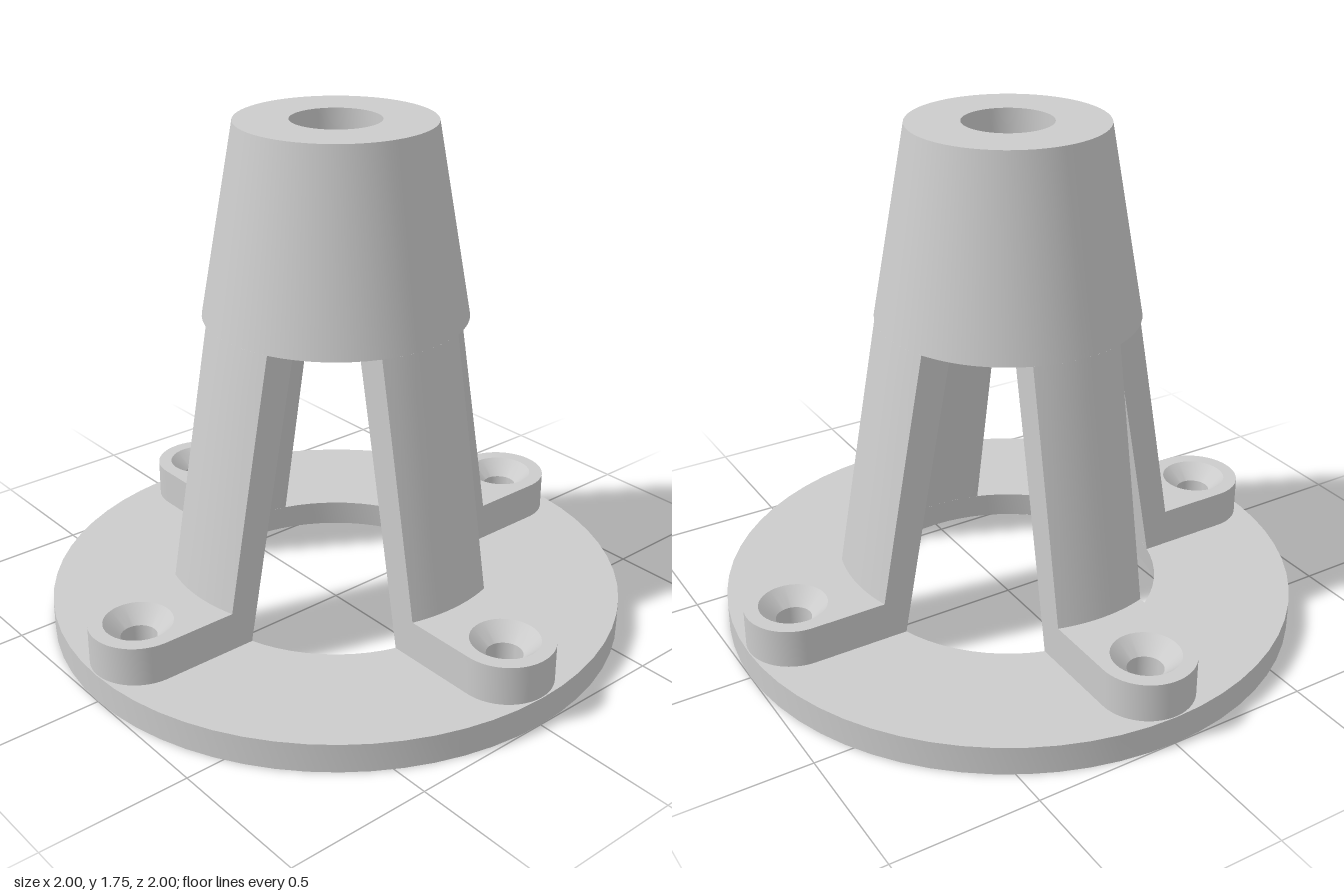
import * as THREE from 'three';
import { toCreasedNormals } from 'three/addons/utils/BufferGeometryUtils.js';

const BASE = 0.1, PAD_TOP = 0.235, HUB = 1.1, TOP = 1.75; // heights
const HALF = 0.163;                                       // half width of legs and feet
const SCREW_X = 0.833, SCREW_R = 0.06, SINK_R = 0.115;
const SEG = 64;

// Radii of the tapering shell at height y
const outer = y => 0.33 + (TOP - y) * 0.178;
const inner = y => outer(y) - 0.098;

const circle = (x, y, r) => new THREE.Path().absarc(x, y, r, 0, Math.PI * 2, true);

// Extrude a plan shape upwards from y0
function slab(shape, y0, height, curveSegments) {
  const g = new THREE.ExtrudeGeometry(shape, { depth: height, bevelEnabled: false, curveSegments });
  return g.rotateX(-Math.PI / 2).translate(0, y0, 0);
}

function lathe(points, segments) {
  const g = new THREE.LatheGeometry(points.map(p => new THREE.Vector2(...p)), segments);
  return toCreasedNormals(g, 0.5);
}

// Flange ring with screw holes; its bore follows the taper of the shell
function baseGeometry() {
  const s = new THREE.Shape().absarc(0, 0, 1, 0, Math.PI * 2);
  s.holes.push(circle(0, 0, inner(BASE)));
  for (let i = 0; i < 4; i++) {
    const a = i * Math.PI / 2;
    s.holes.push(circle(SCREW_X * Math.cos(a), SCREW_X * Math.sin(a), SCREW_R));
  }
  const g = slab(s, 0, BASE, SEG / 2);
  const p = g.attributes.position;
  const k = inner(0) / inner(BASE);
  for (let i = 0; i < p.count; i++) {
    const x = p.getX(i), z = p.getZ(i);
    if (p.getY(i) < 0.01 && Math.hypot(x, z) < 0.6) p.setXYZ(i, x * k, 0, z * k);
  }
  return toCreasedNormals(g, 0.5);
}

// Slice of the conical shell between two parallel side planes
function legGeometry() {
  const g = new THREE.BoxGeometry(1, 1, 1, 1, 8, 10);
  const p = g.attributes.position;
  for (let i = 0; i < p.count; i++) {
    const y = BASE + (p.getY(i) + 0.5) * (HUB - BASE);
    const z = p.getZ(i) * 2 * HALF;
    const r = p.getX(i) > 0 ? outer(y) : inner(y);
    p.setXYZ(i, Math.sqrt(r * r - z * z), y, z);
  }
  g.computeVertexNormals();
  return g;
}

// Round-ended foot
function footGeometry() {
  const s = new THREE.Shape();
  s.moveTo(0.55, -HALF);
  s.lineTo(SCREW_X, -HALF);
  s.absarc(SCREW_X, 0, HALF, -Math.PI / 2, Math.PI / 2);
  s.lineTo(0.55, HALF);
  s.closePath();
  s.holes.push(circle(SCREW_X, 0, SINK_R));
  return toCreasedNormals(slab(s, BASE, PAD_TOP - BASE, 20), 0.5);
}

export function createModel() {
  const model = new THREE.Group();
  model.name = 'flangedStand';
  const mat = new THREE.MeshStandardMaterial({ color: 0xcccccc });
  const add = (parent, name, geometry) => {
    const m = new THREE.Mesh(geometry, mat);
    m.name = name;
    parent.add(m);
    return m;
  };

  add(model, 'baseFlange', baseGeometry());

  // Hollow conical hub with a bored top plate
  add(model, 'hub', lathe([
    [inner(HUB), HUB], [outer(HUB), HUB], [outer(TOP), TOP], [0.15, TOP],
    [0.15, 1.65], [inner(1.65), 1.65], [inner(HUB), HUB],
  ], SEG));

  // Four legs, each with a countersunk foot
  const leg = legGeometry();
  const foot = footGeometry();
  const sink = lathe([[SINK_R, PAD_TOP], [SCREW_R, 0.18], [SCREW_R, 0]], 40)
    .translate(SCREW_X, 0, 0);
  ['left', 'back', 'right', 'front'].forEach((side, i) => {
    const g = new THREE.Group();
    g.name = side + 'Support';
    g.rotation.y = i * Math.PI / 2;
    add(g, side + 'Leg', leg);
    add(g, side + 'Foot', foot);
    add(g, side + 'ScrewHole', sink);
    model.add(g);
  });
  return model;
}
